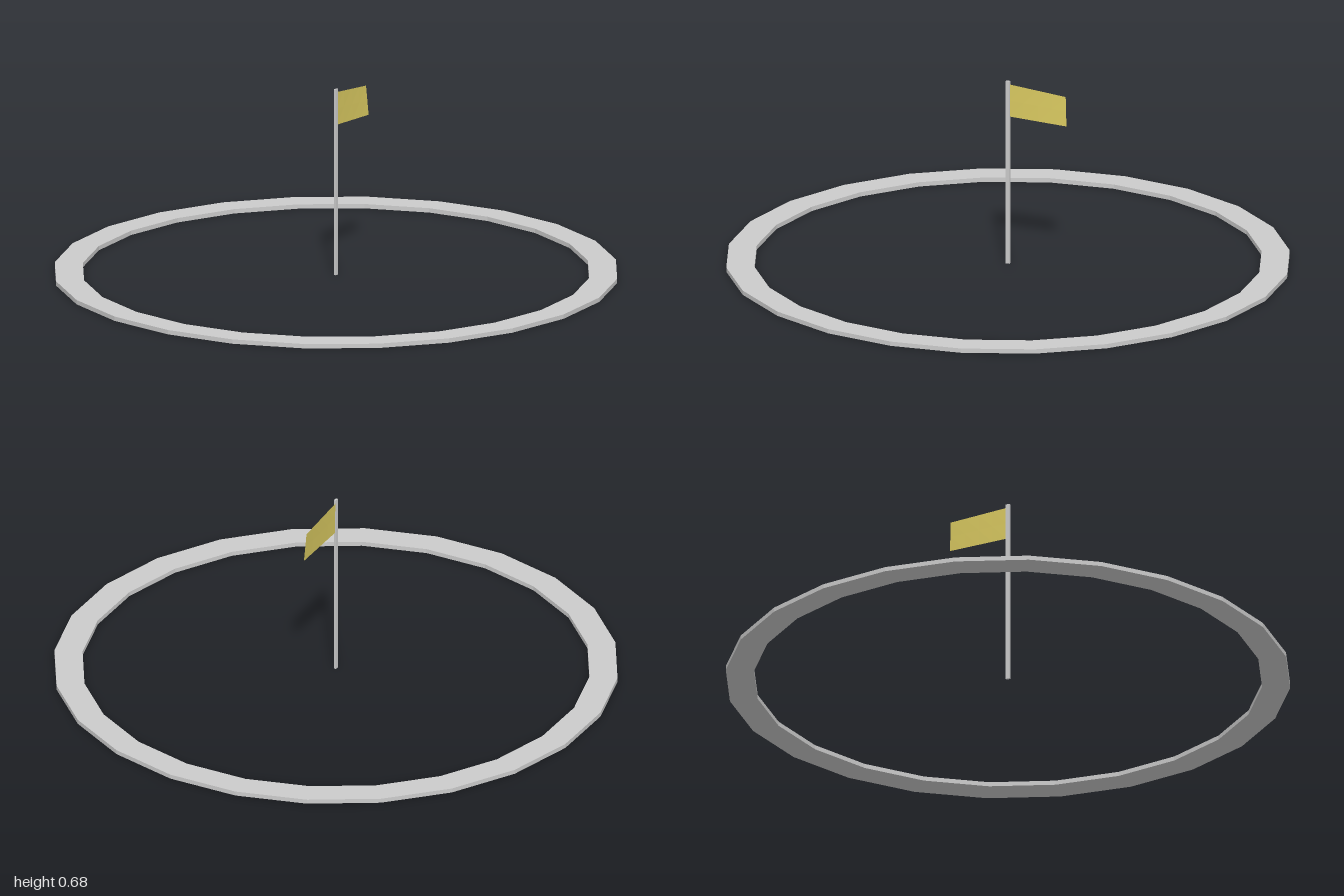
import * as THREE from 'three';

export function createModel() {
  const model = new THREE.Group();
  const grey = new THREE.MeshStandardMaterial({ color: 0xcccccc, flatShading: true });
  const yellow = new THREE.MeshStandardMaterial({ color: 0xd8c860, flatShading: true, side: THREE.DoubleSide });
  const add = (name, geometry, material) => {
    const mesh = new THREE.Mesh(geometry, material);
    mesh.name = name;
    model.add(mesh);
    return mesh;
  };

  // Flat 24-sided ground ring with a rectangular section
  const section = [[0.9, 0], [1, 0], [1, 0.016], [0.9, 0.016], [0.9, 0]]
    .map(([r, y]) => new THREE.Vector2(r, y));
  add('groundRing', new THREE.LatheGeometry(section, 24), grey).rotation.y = -0.015;

  // Slim pole in the middle of the ring
  const pole = new THREE.BoxGeometry(0.014, 0.68, 0.008);
  pole.translate(0, 0.34, 0);
  add('pole', pole, grey);

  // Slightly twisted pennant: blend its four corners
  const topIn = new THREE.Vector3(0.005, 0.667, -0.002);
  const topOut = new THREE.Vector3(0.213, 0.642, -0.022);
  const lowIn = new THREE.Vector3(0.005, 0.548, 0);
  const lowOut = new THREE.Vector3(0.219, 0.535, -0.015);
  const flag = new THREE.PlaneGeometry(1, 1, 4, 2);
  const pos = flag.attributes.position;
  for (let i = 0; i < pos.count; i++) {
    const u = pos.getX(i) + 0.5, v = pos.getY(i) + 0.5;
    const low = lowIn.clone().lerp(lowOut, u);
    const p = low.lerp(topIn.clone().lerp(topOut, u), v);
    pos.setXYZ(i, p.x, p.y, p.z);
  }
  flag.computeVertexNormals();
  add('flag', flag, yellow);

  return model;
}
